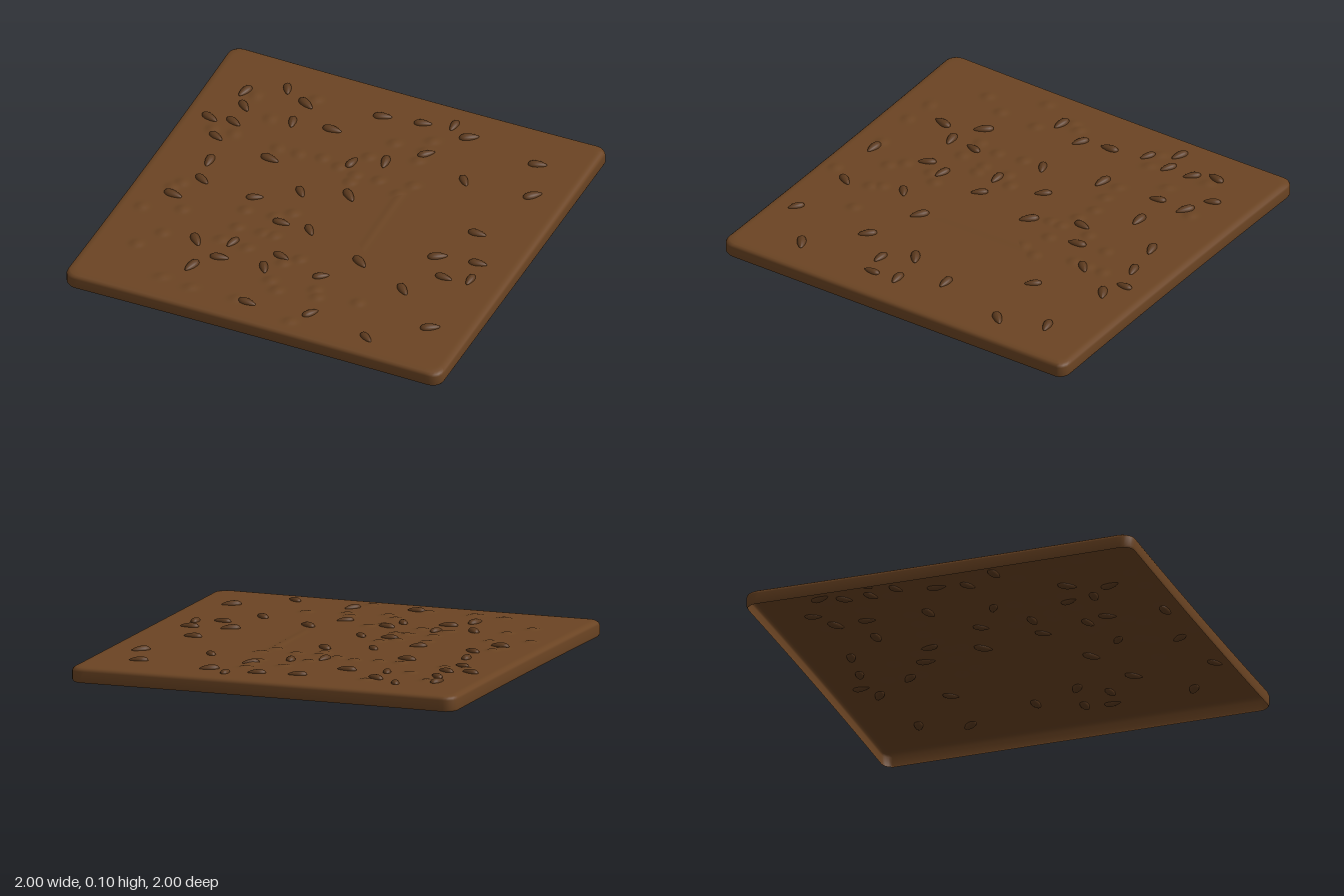
import * as THREE from 'three';

const TOP = 0.076;

// seeds: x, z, angle in degrees
const SEEDS = [
  -0.61, -0.78, 65, -0.48, -0.71, 30, -0.79, -0.68, 105, -0.745, -0.57, 45, -0.48, -0.55, 75,
  -0.28, -0.575, 0, -0.86, -0.42, 20, -0.74, -0.435, 25, -0.77, -0.295, 25, -0.46, -0.24, 10,
  -0.72, -0.105, 85, -0.69, 0.045, 30, -0.4, 0.07, -25, -0.77, 0.21, 8, -0.1, -0.77, -15,
  0.1, -0.8, -15, 0.245, -0.845, 90, 0.35, -0.79, -30, 0.74, -0.73, -15, 0.215, -0.585, -45,
  0.47, -0.465, 50, 0.82, -0.495, -45, 0.06, -0.445, 80, -0.085, -0.375, -80, -0.215, -0.06, 50,
  0.01, -0.13, 45, 0.7, -0.11, 0, -0.2, 0.2, 0, -0.05, 0.2, 50, 0.6, 0.135, -30,
  0.8, 0.105, -5, 0.695, 0.275, 5, 0.82, 0.24, 90, 0.275, 0.33, 35, 0.555, 0.445, 45,
  -0.09, 0.445, 15, -0.35, 0.44, 105, -0.52, 0.495, 50, -0.36, 0.575, -10, -0.13, 0.56, 60,
  0.15, 0.51, -35, -0.455, 0.69, 105, -0.09, 0.845, 5, 0.225, 0.8, -55, 0.55, 0.865, 35,
  0.8, 0.665, -30,
];

// soft bumps in the crust: x, z
const BUMPS = [
  -0.73, -0.67, -0.59, -0.53, -0.45, -0.76, -0.7, -0.35, -0.81, -0.34, -0.46, -0.33, -0.35, -0.33,
  -0.23, -0.35, -0.13, -0.32, -0.03, -0.45, 0.04, -0.6, 0.2, -0.69, 0.2, -0.52, 0.26, -0.33,
  0.09, -0.3, -0.03, -0.29, -0.03, -0.23, 0.22, -0.24, 0.44, -0.23, 0.2, -0.6, 0.69, -0.6,
  0.8, -0.52, 0.86, -0.16, 0.64, -0.09, -0.77, 0.11, -0.8, 0.16, -0.4, 0.18, -0.18, 0.11,
  -0.25, 0.17, -0.68, 0.3, -0.87, 0.36, -0.38, 0.32, -0.25, 0.31, -0.19, 0.31, 0.47, 0.23,
  0.47, 0.3, 0.59, 0.34, 0.52, 0.34, 0.48, 0.37, -0.69, 0.51, -0.41, 0.44, -0.27, 0.45,
  0, 0.43, -0.06, 0.49, 0.65, 0.45, 0.89, 0.47, -0.06, 0.64, 0, 0.7, 0.17, 0.62,
  0.2, 0.67, 0.4, 0.63, -0.77, 0.64, -0.55, 0.83, -0.39, 0.85, 0.16, 0.9, -0.15, 0.84,
];

function bumpHeight(x, z) {
  let h = 0;
  for (let i = 0; i < BUMPS.length; i += 2) {
    const d = ((x - BUMPS[i]) ** 2 + (z - BUMPS[i + 1]) ** 2) / 0.045 ** 2;
    if (d < 1) h = Math.max(h, 0.008 * (1 - d) ** 2);
  }
  return h;
}

function roundedSquare(half, r, count) {
  const c = half - r, shape = new THREE.Shape();
  const corners = [[c, c], [-c, c], [-c, -c], [c, -c]];
  shape.moveTo(half, -c);
  corners.forEach(([x, y], i) => shape.absarc(x, y, r, i * Math.PI / 2, (i + 1) * Math.PI / 2));
  return shape.getSpacedPoints(count).slice(0, count);
}

// open-bottomed shell: wall, rounded rim, then rings closing over the bumpy top
function crustGeometry() {
  const N = 320, inner = 90;
  const rings = [[0.995, 0], [1, 0.01], [1, 0.055], [0.996, 0.066], [0.987, 0.073], [0.97, TOP]];
  for (let i = 1; i <= inner; i++) rings.push([0.97 * (1 - i / inner), TOP]);
  const outline = roundedSquare(1, 0.06, N);
  const positions = [], index = [];
  rings.forEach(([s, y], i) => {
    outline.forEach((p, j) => {
      // edges bow in slightly between the corners
      const x = p.x * s * (1 - 0.008 * (1 - p.y * p.y));
      const z = p.y * s * (1 - 0.008 * (1 - p.x * p.x));
      positions.push(x, y + (i > 5 ? bumpHeight(x, z) : 0), z);
      if (i < rings.length - 1) {
        const a = i * N + j, b = i * N + (j + 1) % N;
        index.push(a, a + N, b);
        if (i < rings.length - 2) index.push(b, a + N, b + N);
      }
    });
  });
  const g = new THREE.BufferGeometry();
  g.setAttribute('position', new THREE.Float32BufferAttribute(positions, 3));
  g.setIndex(index);
  g.computeVertexNormals();
  return g;
}

// teardrop seed lying along x
function seedGeometry() {
  const g = new THREE.SphereGeometry(1, 16, 10);
  g.rotateZ(-Math.PI / 2);
  const p = g.attributes.position;
  for (let i = 0; i < p.count; i++) {
    const x = p.getX(i), taper = 1 - 0.3 * x;
    p.setXYZ(i, x * 0.046, p.getY(i) * 0.017 * taper, p.getZ(i) * 0.021 * taper);
  }
  g.computeVertexNormals();
  return g;
}

export function createModel() {
  const crustBrown = new THREE.MeshStandardMaterial({ color: 0x6b4423, side: THREE.DoubleSide });
  crustBrown.name = 'crust brown';
  const seedBrown = new THREE.MeshStandardMaterial({ color: 0x5c3a1e });
  seedBrown.name = 'seed brown';

  const model = new THREE.Group();
  model.name = 'seededCracker';

  const crust = new THREE.Mesh(crustGeometry(), crustBrown);
  crust.name = 'crust';
  model.add(crust);

  const seeds = new THREE.Group();
  seeds.name = 'seeds';
  const geometry = seedGeometry();
  for (let i = 0; i < SEEDS.length; i += 3) {
    const seed = new THREE.Mesh(geometry, seedBrown);
    seed.name = 'seed';
    seed.position.set(SEEDS[i], TOP + 0.001, SEEDS[i + 1]);
    seed.rotation.y = -THREE.MathUtils.degToRad(SEEDS[i + 2]);
    seed.scale.setScalar(0.92 + 0.05 * (i % 4));
    seeds.add(seed);
  }
  model.add(seeds);
  return model;
}
